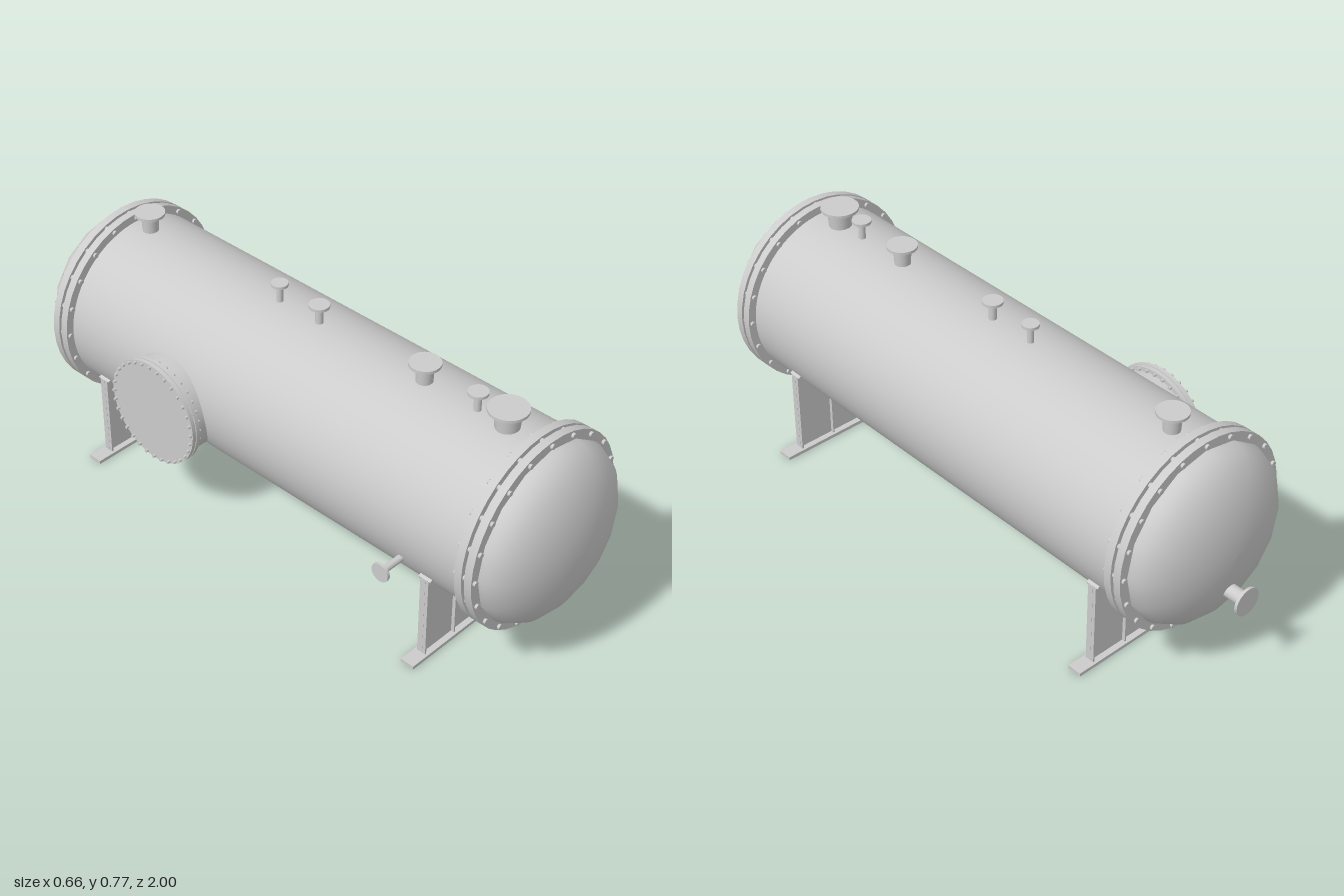
import * as THREE from 'three';

const CX = 0.017, CY = 0.43, R = 0.28;
const mat = new THREE.MeshStandardMaterial({ color: 0xcccccc });
const thinMat = new THREE.MeshStandardMaterial({ color: 0xcccccc, side: THREE.DoubleSide });
const UP = new THREE.Vector3(0, 1, 0);

function add(parent, name, geometry, material = mat) {
  const mesh = new THREE.Mesh(geometry, material);
  mesh.name = name;
  parent.add(mesh);
  return mesh;
}

function group(parent, name) {
  const g = new THREE.Group();
  g.name = name;
  parent.add(g);
  return g;
}

// Cylinder or cone along local y from y0 to y1
function rod(parent, name, r0, r1, y0, y1, sides = 24) {
  const mesh = add(parent, name, new THREE.CylinderGeometry(r1, r0, y1 - y0, sides));
  mesh.position.y = (y0 + y1) / 2;
  return mesh;
}

// Circle of bolts about local y
function boltRing(parent, count, ringR, boltR, y0, y1) {
  for (let i = 0; i < count; i++) {
    const a = (i / count) * Math.PI * 2;
    const bolt = rod(parent, 'bolt', boltR, boltR, y0, y1, 10);
    bolt.position.x = Math.sin(a) * ringR;
    bolt.position.z = Math.cos(a) * ringR;
  }
}

// Pipe stub with end flange; tip is the outer flange face, dir points outward
function nozzle(parent, name, tip, dir, length, flangeR, neckR, rootR = neckR) {
  const g = group(parent, name);
  g.position.set(...tip);
  g.quaternion.setFromUnitVectors(UP, new THREE.Vector3(...dir));
  rod(g, 'neck', rootR, neckR, -length, -0.004);
  rod(g, 'flange', flangeR, flangeR, -0.009, 0, 32);
}

// Dished end and bolted flange pair; z is the dome's base plane, s its direction
function vesselEnd(parent, name, z, s) {
  const g = group(parent, name);
  g.position.set(CX, CY, z);
  g.rotation.x = s * Math.PI / 2;
  const profile = [];
  for (let i = 0; i <= 16; i++) {
    const a = (i / 16) * Math.PI / 2;
    profile.push(new THREE.Vector2(R * Math.cos(a), 0.135 * Math.sin(a)));
  }
  profile[16].x = 0;
  add(g, 'dishedHead', new THREE.LatheGeometry(profile, 16), thinMat);
  rod(g, 'headFlange', 0.307, 0.307, -0.025, 0, 40);
  rod(g, 'shellFlange', 0.307, 0.307, -0.06, -0.035, 40);
  boltRing(g, 20, 0.294, 0.008, -0.068, 0.008);
}

// Saddle support, built about the vessel axis in x
function saddle(parent, name, z) {
  const g = group(parent, name);
  g.position.set(CX, 0, z);
  const half = 0.253, outer = 0.29, baseTop = 0.011;
  const box = (label, w, h, d, x, y) => {
    add(g, label, new THREE.BoxGeometry(w, h, d)).position.set(x, y, 0);
  };
  box('basePlate', 0.624, baseTop, 0.047, 0, baseTop / 2);

  // Web cut to the curve of the shell
  const a = Math.asin(half / outer);
  const web = new THREE.Shape();
  web.moveTo(-half, baseTop);
  web.lineTo(half, baseTop);
  web.lineTo(half, CY - outer * Math.cos(a));
  web.absarc(0, CY, outer, -Math.PI / 2 + a, -Math.PI / 2 - a, true);
  const webGeo = new THREE.ExtrudeGeometry(web, { depth: 0.008, bevelEnabled: false, curveSegments: 32 });
  add(g, 'web', webGeo.translate(0, 0, -0.004));

  // Curved plate under the shell
  const band = new THREE.Shape();
  band.absarc(0, CY, outer, -Math.PI / 2 - a, -Math.PI / 2 + a, false);
  band.absarc(0, CY, R - 0.002, -Math.PI / 2 + a, -Math.PI / 2 - a, true);
  const bandGeo = new THREE.ExtrudeGeometry(band, { depth: 0.043, bevelEnabled: false, curveSegments: 32 });
  add(g, 'curvedPlate', bandGeo.translate(0, 0, -0.0215));

  // Stiffening ribs
  for (let i = -2; i <= 2; i++) {
    const x = i * 0.125;
    const top = CY - Math.sqrt(outer * outer - x * x) + 0.002;
    box('rib', 0.005, top - baseTop, 0.03, x, (top + baseTop) / 2);
  }
}

export function createModel() {
  const model = new THREE.Group();
  model.name = 'pressureVessel';

  // Cylindrical shell
  const shell = add(model, 'shell', new THREE.CylinderGeometry(R, R, 1.68, 64));
  shell.rotation.x = Math.PI / 2;
  shell.position.set(CX, CY, 0.025);

  vesselEnd(model, 'frontEnd', 0.865, 1);
  vesselEnd(model, 'backEnd', -0.815, -1);
  saddle(model, 'frontSaddle', 0.66);
  saddle(model, 'backSaddle', -0.66);

  // Top nozzles: z, flange radius, neck radius, root radius
  const topNozzles = [
    [0.715, 0.059, 0.041, 0.034], [0.61, 0.03, 0.011, 0.011], [0.42, 0.047, 0.028, 0.024],
    [0.02, 0.031, 0.012, 0.012], [-0.138, 0.026, 0.01, 0.01], [-0.69, 0.047, 0.028, 0.024],
  ];
  for (const [z, f, n, r] of topNozzles) {
    nozzle(model, 'topNozzle', [CX, 0.773, z], [0, 1, 0], 0.08, f, n, r);
  }

  // Bottom, side and end nozzles
  nozzle(model, 'bottomDrain', [CX, 0.085, 0.715], [0, -1, 0], 0.08, 0.059, 0.041, 0.034);
  nozzle(model, 'smallDrain', [CX, 0.085, 0.58], [0, -1, 0], 0.08, 0.031, 0.011);
  nozzle(model, 'sideNozzle', [-0.328, 0.32, 0.577], [-1, 0, 0], 0.11, 0.03, 0.011);
  nozzle(model, 'endNozzle', [CX, 0.3, -1], [0, 0, -1], 0.085, 0.044, 0.022);

  // Side manway with bolted cover
  const manway = group(model, 'manway');
  manway.position.set(0, 0.385, -0.335);
  manway.rotation.z = Math.PI / 2;
  rod(manway, 'neck', 0.158, 0.158, 0.12, 0.322, 48);
  rod(manway, 'neckFlange', 0.172, 0.172, 0.295, 0.308, 48);
  rod(manway, 'cover', 0.172, 0.172, 0.311, 0.324, 48);
  boltRing(manway, 32, 0.164, 0.005, 0.287, 0.333);

  return model;
}
